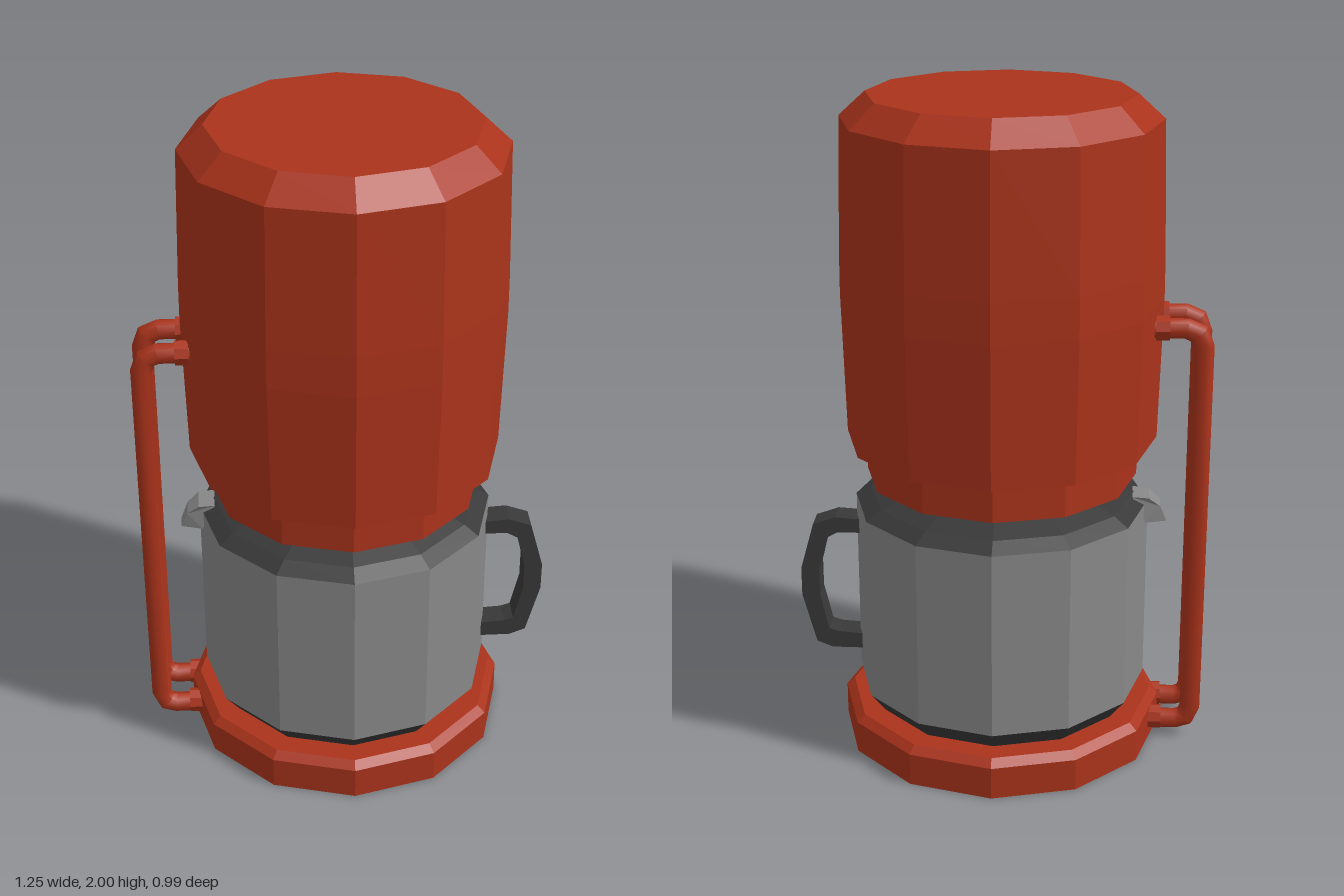
import * as THREE from 'three';
import { toCreasedNormals } from 'three/addons/utils/BufferGeometryUtils.js';

const material = (color, flatShading = true) => new THREE.MeshStandardMaterial({ color, flatShading });

export function createModel() {
  const model = new THREE.Group();
  model.name = 'coffeeMaker';
  const red = material(0xaa331b), redPipe = material(0xaa331b, false);
  const steel = material(0x888888), dark = material(0x383838);

  const add = (name, geometry, mat, parent = model) => {
    const mesh = new THREE.Mesh(geometry, mat);
    mesh.name = name;
    parent.add(mesh);
    return mesh;
  };

  // Twelve-sided turned part; profile is [radius, y] from bottom to top
  const turned = (name, profile, mat) =>
    add(name, new THREE.LatheGeometry(profile.map(([r, y]) => new THREE.Vector2(r, y)), 12), mat);

  // Side profile in x/y, extruded to a width centred on z = 0
  const slab = (points, width) => {
    const shape = new THREE.Shape(points.map(([x, y]) => new THREE.Vector2(x, y)));
    return new THREE.ExtrudeGeometry(shape, { depth: width, bevelEnabled: false }).translate(0, 0, -width / 2);
  };

  // Round pipe with mitred corners along a path in the x/y plane
  const pipe = (path, radius, sides = 8) => {
    const pts = path.map(([x, y]) => new THREE.Vector2(x, y));
    const pos = [], index = [];
    pts.forEach((p, i) => {
      const a = p.clone().sub(pts[Math.max(i - 1, 0)]).normalize();
      const b = pts[Math.min(i + 1, pts.length - 1)].clone().sub(p).normalize();
      const t = a.clone().add(b).normalize();
      const stretch = 1 / t.dot(i ? a : b);
      for (let j = 0; j < sides; j++) {
        const angle = (j / sides) * Math.PI * 2;
        const c = Math.cos(angle) * radius * stretch;
        pos.push(p.x - t.y * c, p.y + t.x * c, Math.sin(angle) * radius);
        if (i) {
          const k = (j + 1) % sides, lo = (i - 1) * sides, hi = i * sides;
          index.push(lo + j, lo + k, hi + j, lo + k, hi + k, hi + j);
        }
      }
    });
    const g = new THREE.BufferGeometry();
    g.setAttribute('position', new THREE.Float32BufferAttribute(pos, 3));
    g.setIndex(index);
    return toCreasedNormals(g, 0.82);
  };

  // Base, water tank and filter neck
  turned('base', [[0, 0], [0.495, 0], [0.495, 0.1], [0.47, 0.122], [0, 0.122]], red);
  turned('filterNeck', [[0, 0.85], [0.41, 0.85], [0.41, 0.98]], red);
  turned('tank', [[0, 0.97], [0.468, 0.97], [0.479, 1.4], [0.478, 1.52], [0.467, 1.93], [0.39, 2], [0, 2]], red);

  // Pot with dark foot and lid
  turned('potFoot', [[0, 0.12], [0.4, 0.12], [0.447, 0.182]], dark);
  turned('potWall', [[0.447, 0.182], [0.447, 0.762]], steel);
  turned('potLid', [[0.447, 0.762], [0.4, 0.79], [0.22, 0.852], [0, 0.852]], dark);

  // Pot handle
  add('potHandle', slab([
    [0.43, 0.69], [0.51, 0.695], [0.58, 0.67], [0.622, 0.52], [0.622, 0.43], [0.58, 0.27], [0.53, 0.25],
    [0.43, 0.25], [0.43, 0.3], [0.51, 0.305], [0.54, 0.315], [0.566, 0.43], [0.566, 0.52], [0.54, 0.625],
    [0.505, 0.645], [0.43, 0.645],
  ], 0.08), dark);

  // Pouring lip, narrowing towards its tip
  const lip = slab([[-0.4, 0.788], [-0.45, 0.785], [-0.485, 0.755], [-0.505, 0.705], [-0.44, 0.705], [-0.41, 0.76]], 0.09);
  const lipPos = lip.attributes.position;
  for (let i = 0; i < lipPos.count; i++) {
    const taper = 1 - Math.max(0, -lipPos.getX(i) - 0.45) * 8;
    lipPos.setZ(i, lipPos.getZ(i) * taper);
  }
  add('pouringLip', lip, steel);

  // Twin water pipes with end collars
  for (const side of [-1, 1]) {
    const waterPipe = new THREE.Group();
    waterPipe.name = side > 0 ? 'frontWaterPipe' : 'rearWaterPipe';
    waterPipe.position.z = side * 0.075 - 0.003;
    model.add(waterPipe);
    add('pipe', pipe([
      [-0.45, 1.335], [-0.545, 1.335], [-0.58, 1.32], [-0.595, 1.28],
      [-0.595, 0.1], [-0.58, 0.065], [-0.55, 0.055], [-0.45, 0.055],
    ], 0.031), redPipe, waterPipe);
    for (const [x, y] of [[-0.475, 1.335], [-0.485, 0.06]]) {
      const collar = add('collar', new THREE.CylinderGeometry(0.038, 0.038, 0.04, 8), red, waterPipe);
      collar.rotation.z = Math.PI / 2;
      collar.position.set(x, y, 0);
    }
  }
  return model;
}
